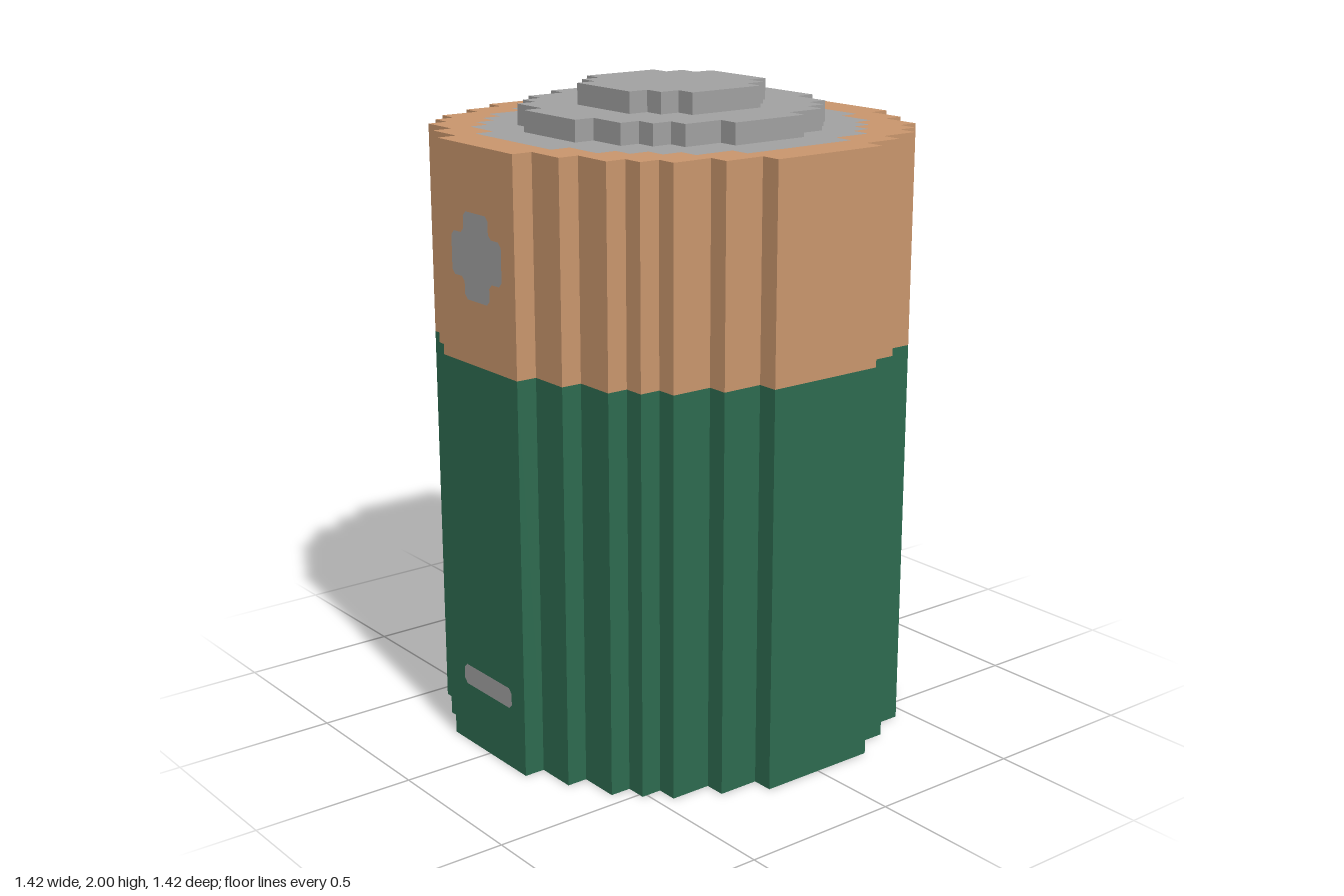
import * as THREE from 'three';

const U = 2 / 31; // one block

const material = (name, color) => {
  const m = new THREE.MeshStandardMaterial({ color });
  m.name = name;
  return m;
};

// Stepped outline, mirrored from one quadrant of [halfWidth, halfDepth] steps in blocks.
// A cut above zero bevels every corner by that length.
function outline(steps, cut = 0) {
  const q = [];
  steps.forEach(([x, y], i) => {
    q.push([x, y]);
    if (i < steps.length - 1) q.push([x, steps[i + 1][1]]);
  });
  const r = [...q].reverse();
  let pts = [
    ...q,
    ...r.map(([x, y]) => [x, -y]),
    ...q.map(([x, y]) => [-x, -y]),
    ...r.map(([x, y]) => [-x, y]),
  ].map(([x, y]) => new THREE.Vector2(x * U, y * U));
  if (cut > 0) {
    const toward = (a, b) => a.clone().add(b.clone().sub(a).setLength(cut));
    const n = pts.length;
    pts = pts.flatMap((p, i) => [toward(p, pts[(i + n - 1) % n]), toward(p, pts[(i + 1) % n])]);
  }
  return pts;
}

const BODY = [[3, 11], [5, 10], [7, 9], [8, 8], [9, 7], [10, 5], [11, 3]];
const CORE = [[3, 9], [5, 8], [6, 7], [7, 6], [8, 5], [9, 3]];
const LOWER_TIER = [[2, 7], [4, 6], [5, 5], [6, 4], [7, 2]];
const UPPER_TIER = [[2, 4], [3, 3], [4, 2]];

export function createModel() {
  const model = new THREE.Group();
  model.name = 'battery';
  const green = material('green casing', 0x2d6a4f);
  const copper = material('copper casing', 0xc8956c);
  const grey = material('grey metal', 0xa0a0a0);

  // Upright slab between two heights in blocks, optionally hollow
  function slab(name, steps, y0, y1, mat, hole) {
    const shape = new THREE.Shape(outline(steps));
    if (hole) shape.holes.push(new THREE.Path(outline(hole)));
    const geo = new THREE.ExtrudeGeometry(shape, { depth: (y1 - y0) * U, bevelEnabled: false });
    geo.rotateX(-Math.PI / 2).translate(0, y0 * U, 0);
    const mesh = new THREE.Mesh(geo, mat);
    mesh.name = name;
    model.add(mesh);
  }

  // Casing sleeves around a metal core that shows at both ends
  slab('lowerCasing', BODY, 0, 19, green, CORE);
  slab('upperCasing', BODY, 19, 29, copper, CORE);
  slab('metalCore', CORE, 0, 29, grey);

  // Raised terminal
  slab('terminalBase', LOWER_TIER, 29, 30, grey);
  slab('terminalTip', UPPER_TIER, 30, 31, grey);

  // Polarity marks on front and back
  const marks = [
    ['plusMark', [[1, 2], [2, 1]], 24],
    ['minusMark', [[2, 0.5]], 3.5],
  ];
  for (const [side, turn] of [['front', 0], ['back', Math.PI]]) {
    const group = new THREE.Group();
    group.name = side + 'Marks';
    group.rotation.y = turn;
    for (const [name, steps, y] of marks) {
      const geo = new THREE.ShapeGeometry(new THREE.Shape(outline(steps, 0.014)));
      const mesh = new THREE.Mesh(geo, grey);
      mesh.name = name;
      mesh.position.set(0, y * U, 11 * U + 0.002);
      group.add(mesh);
    }
    model.add(group);
  }
  return model;
}
